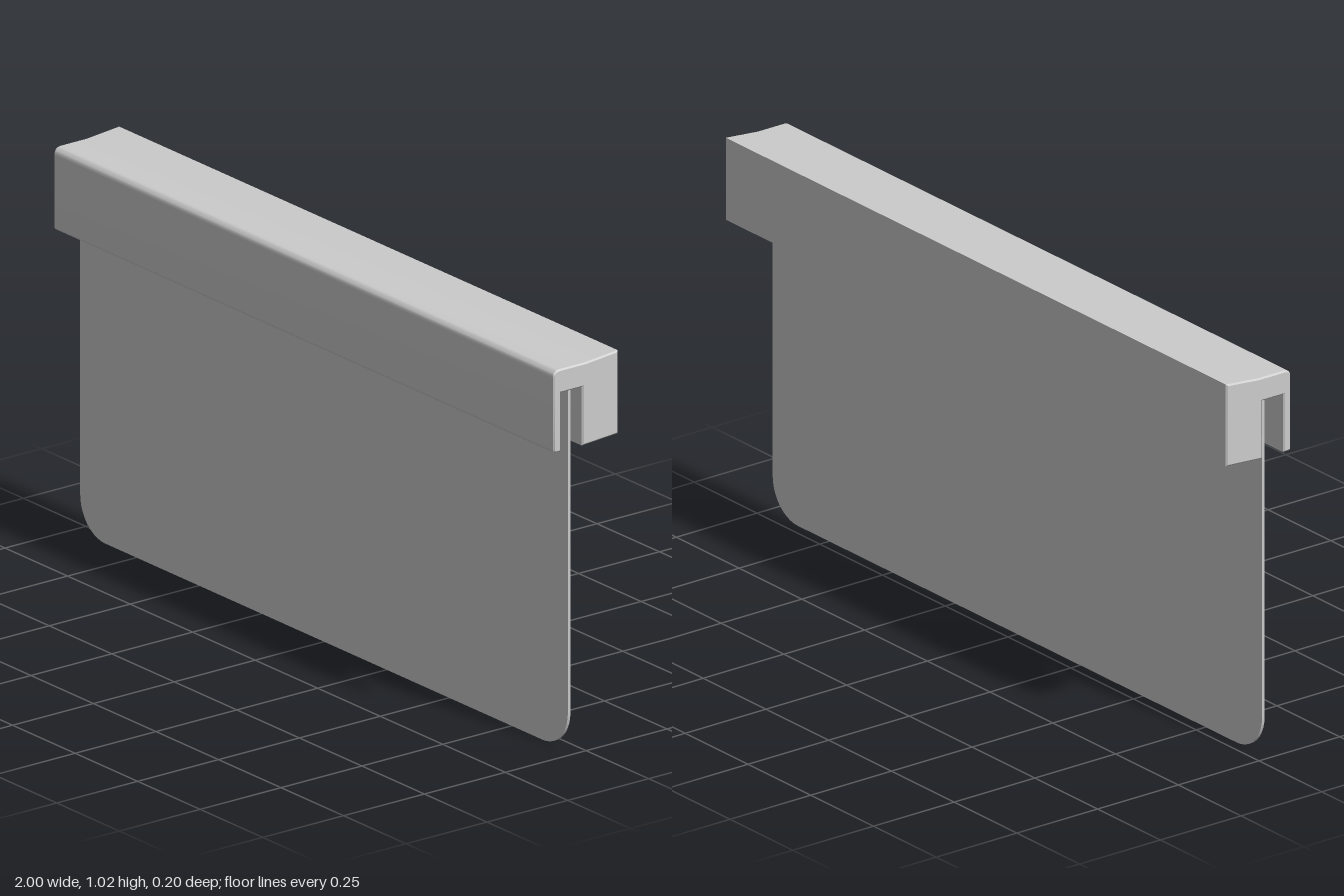
import * as THREE from 'three';
import { toCreasedNormals } from 'three/addons/utils/BufferGeometryUtils.js';

export function createModel() {
  const group = new THREE.Group();
  const material = new THREE.MeshStandardMaterial({ color: 0xcccccc });
  const add = (name, geometry) => {
    const mesh = new THREE.Mesh(toCreasedNormals(geometry, 0.6), material);
    mesh.name = name;
    group.add(mesh);
  };

  // Grip: slotted cross-section (shape x is -z) run along the full width
  const grip = new THREE.Shape();
  grip.moveTo(-0.092, 0.797);
  grip.lineTo(-0.077, 0.797);
  grip.lineTo(-0.077, 0.95);
  grip.lineTo(-0.011, 0.95);
  grip.lineTo(-0.011, 0.797);
  grip.lineTo(0.1, 0.804);
  grip.lineTo(0.1, 1.021);
  grip.lineTo(0, 1.012);
  grip.lineTo(-0.08, 1.012);
  grip.quadraticCurveTo(-0.1, 1.012, -0.1, 0.992);
  grip.lineTo(-0.1, 0.805);
  grip.quadraticCurveTo(-0.1, 0.797, -0.092, 0.797);

  // Small chamfer around both ends
  const bevel = 0.004;
  const gripGeometry = new THREE.ExtrudeGeometry(grip, {
    depth: 2 - 2 * bevel, curveSegments: 6, bevelEnabled: true,
    bevelThickness: bevel, bevelSize: bevel, bevelOffset: -bevel, bevelSegments: 1,
  });
  gripGeometry.translate(0, 0, -1 + bevel);
  gripGeometry.rotateY(Math.PI / 2);
  add('grip', gripGeometry);

  // Blade: thin sheet with rounded lower corners, held inside the slot
  const w = 0.975, r = 0.1, thickness = 0.008;
  const blade = new THREE.Shape();
  blade.moveTo(-w, 0.95);
  blade.lineTo(-w, r);
  blade.absarc(-w + r, r, r, Math.PI, Math.PI * 1.5, false);
  blade.lineTo(w - r, 0);
  blade.absarc(w - r, r, r, Math.PI * 1.5, Math.PI * 2, false);
  blade.lineTo(w, 0.95);
  const bladeGeometry = new THREE.ExtrudeGeometry(blade, {
    depth: thickness, curveSegments: 5, bevelEnabled: false,
  });
  bladeGeometry.translate(0, 0, 0.033 - thickness / 2);
  add('blade', bladeGeometry);

  return group;
}
